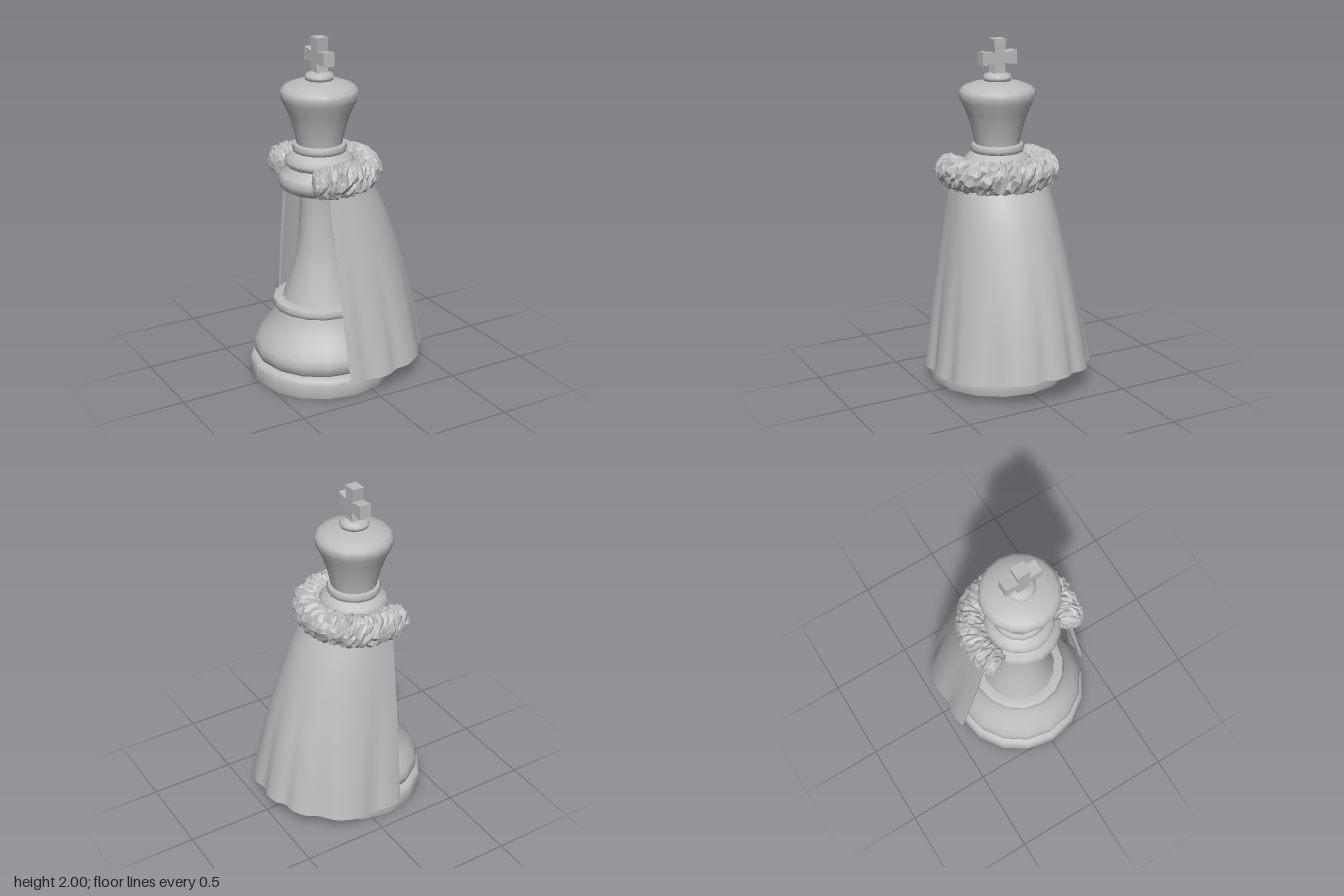
import * as THREE from 'three';
import { toCreasedNormals } from 'three/addons/utils/BufferGeometryUtils.js';

const AXIS_X = -0.11; // the piece stands off-centre because the cape trails behind

// Surface from a grid of points: fn(i, j) gives [x, y, z]
function gridGeometry(nu, nv, fn) {
  const pos = [], idx = [];
  for (let i = 0; i <= nu; i++) for (let j = 0; j <= nv; j++) pos.push(...fn(i, j));
  for (let i = 0; i < nu; i++) {
    for (let j = 0; j < nv; j++) {
      const a = i * (nv + 1) + j, b = a + nv + 1;
      idx.push(a, a + 1, b, b, a + 1, b + 1);
    }
  }
  const g = new THREE.BufferGeometry();
  g.setAttribute('position', new THREE.Float32BufferAttribute(pos, 3));
  g.setIndex(idx);
  return g;
}

function seeded(seed) {
  return () => {
    seed = (seed * 16807) % 2147483647;
    return seed / 2147483647 - 0.5;
  };
}

// Sine that flattens past the sides, so the wrap opens toward its ends
function wrapSin(a) {
  const s = Math.sin(a);
  return Math.abs(a) > Math.PI / 2 ? Math.sign(s) * (1 - 0.3 * (1 - Math.abs(s))) : s;
}

function lathe(points, segments = 16) {
  const g = new THREE.LatheGeometry(points.map(([r, y]) => new THREE.Vector2(r, y)), segments);
  return toCreasedNormals(g, 0.85);
}

// Cape cross-sections: y, half width in z, back x, front edge x
const CAPE = [
  [0.13, 0.472, 0.523, -0.167], [0.42, 0.42, 0.46, -0.18], [0.7, 0.368, 0.38, -0.19],
  [1.0, 0.312, 0.27, -0.195], [1.13, 0.287, 0.205, -0.2], [1.24, 0.268, 0.14, -0.2],
];
const capeCurves = [0, 1].map((k) => new THREE.CatmullRomCurve3(
  CAPE.map((c) => (k ? new THREE.Vector3(c[3], c[0], 0) : new THREE.Vector3(c[1], c[0], c[2])))));

function capePoint(a, t, inset) {
  const p = capeCurves[0].getPoint(t), front = capeCurves[1].getPoint(t).x;
  const rx = (p.z - front) / 1.5, cx = p.z - rx;
  // folds deepen toward the hem
  const depth = 0.022 * Math.pow(Math.max(0, 1 - t * 1.7), 1.5);
  const wave = Math.pow(0.5 + 0.5 * Math.sin(a * 11 + 1.2 * Math.sin(a * 3 + 1)), 2);
  const d = inset + depth * wave;
  const hem = (1 - t) * (0.032 * Math.cos(a) - 0.015 + 0.01 * Math.cos(2 * a));
  return [cx + (rx - d) * Math.cos(a), p.y + hem, (p.x - d) * wrapSin(a)];
}

function capeGeometry() {
  const n = 84, m = 16, span = Math.PI * 2 / 3, thick = 0.018;
  return toCreasedNormals(gridGeometry(n + 2, 2 * m + 2, (i, j) => {
    const end = i === 0 || i === n + 2; // end columns close the front edges
    const a = -span + 2 * span * THREE.MathUtils.clamp((i - 1) / n, 0, 1);
    const k = j === 2 * m + 2 ? 0 : j;
    const outer = k <= m;
    const t = outer ? k / m : (2 * m + 1 - k) / m;
    return capePoint(a, t, end ? thick / 2 : outer ? 0 : thick);
  }), 0.8);
}

// Shaggy roll of fur, faceted
function furGeometry() {
  const n = 84, m = 18, span = 2.55, rnd = seeded(71), rows = [];
  for (let i = 0; i <= n; i++) {
    const k = (2 * i) / n - 1;
    const taper = Math.sqrt(Math.max(0, 1 - Math.pow(Math.abs(k), 14)));
    const row = [];
    for (let j = 0; j < m; j++) {
      const a = span * k + rnd() * 0.04;
      const f = (j / m) * Math.PI * 2 + rnd() * 0.24;
      const r = taper * (0.085 + rnd() * 0.024);
      const dir = new THREE.Vector2(Math.max(Math.cos(a), -0.25), Math.sin(a)).normalize();
      row.push([
        -0.09 + 0.24 * Math.cos(a) + r * Math.cos(f) * dir.x,
        1.25 + r * 1.08 * Math.sin(f),
        0.262 * wrapSin(a) + r * Math.cos(f) * dir.y,
      ]);
    }
    rows.push(row);
  }
  const g = gridGeometry(n, m, (i, j) => rows[i][j % m]).toNonIndexed();
  g.computeVertexNormals();
  return g;
}

// Cross with slightly flared arms, facing the sides
function crossGeometry() {
  const arm = [[0.03, 0.03], [0.108, 0.04], [0.108, -0.04], [0.03, -0.03]];
  const s = new THREE.Shape();
  for (let q = 0; q < 4; q++) {
    const c = Math.round(Math.cos(q * Math.PI / 2)), n = Math.round(Math.sin(q * Math.PI / 2));
    arm.forEach(([u, v], i) => {
      const x = u * c + v * n, y = v * c - u * n;
      if (q + i === 0) s.moveTo(x, y);
      else s.lineTo(x, y);
    });
  }
  const g = new THREE.ExtrudeGeometry(s, { depth: 0.07, bevelEnabled: false });
  return g.translate(0, 0, -0.035).rotateY(Math.PI / 2);
}

export function createModel() {
  const grey = new THREE.MeshStandardMaterial({ color: 0xbcbcbc });
  grey.name = 'grey';
  const model = new THREE.Group();
  model.name = 'capedKing';
  const add = (name, geometry, x = 0, y = 0) => {
    const mesh = new THREE.Mesh(geometry, grey);
    mesh.name = name;
    mesh.position.set(x, y, 0);
    model.add(mesh);
  };

  add('base', lathe([[0, 0], [0.415, 0], [0.42, 0.02], [0.42, 0.08], [0.412, 0.105],
    [0.39, 0.118], [0, 0.12]]), AXIS_X);
  add('foot', lathe([[0.37, 0.115], [0.39, 0.14], [0.397, 0.18], [0.385, 0.22], [0.35, 0.27],
    [0.305, 0.33], [0.275, 0.38], [0.26, 0.43]]), AXIS_X);
  add('footRing', lathe([[0.255, 0.42], [0.275, 0.428], [0.283, 0.45], [0.275, 0.472],
    [0.25, 0.48], [0.2, 0.482]]), AXIS_X);
  add('stem', lathe([[0.225, 0.47], [0.2, 0.54], [0.173, 0.63], [0.148, 0.72], [0.13, 0.82],
    [0.12, 0.95], [0.115, 1.07], [0.12, 1.14]]), AXIS_X);
  add('collar', lathe([[0.11, 1.12], [0.19, 1.13], [0.225, 1.15], [0.24, 1.19], [0.225, 1.23],
    [0.19, 1.25], [0.18, 1.27], [0.198, 1.285], [0.2, 1.305], [0.18, 1.33], [0.14, 1.355]]), AXIS_X);
  add('neckRing', lathe([[0.13, 1.35], [0.148, 1.357], [0.156, 1.378], [0.148, 1.398],
    [0.12, 1.405]]), AXIS_X);
  add('head', lathe([[0.13, 1.4], [0.135, 1.43], [0.155, 1.51], [0.183, 1.59], [0.212, 1.65],
    [0.222, 1.685], [0.217, 1.71], [0.195, 1.73], [0.14, 1.75], [0.07, 1.765], [0, 1.767]]), AXIS_X);
  add('finial', lathe([[0.06, 1.752], [0.079, 1.765], [0.084, 1.78], [0.074, 1.797],
    [0.045, 1.808], [0, 1.811]]), AXIS_X);
  add('cross', crossGeometry(), AXIS_X, 1.892);
  add('cape', capeGeometry());
  add('furCollar', furGeometry());
  return model;
}
